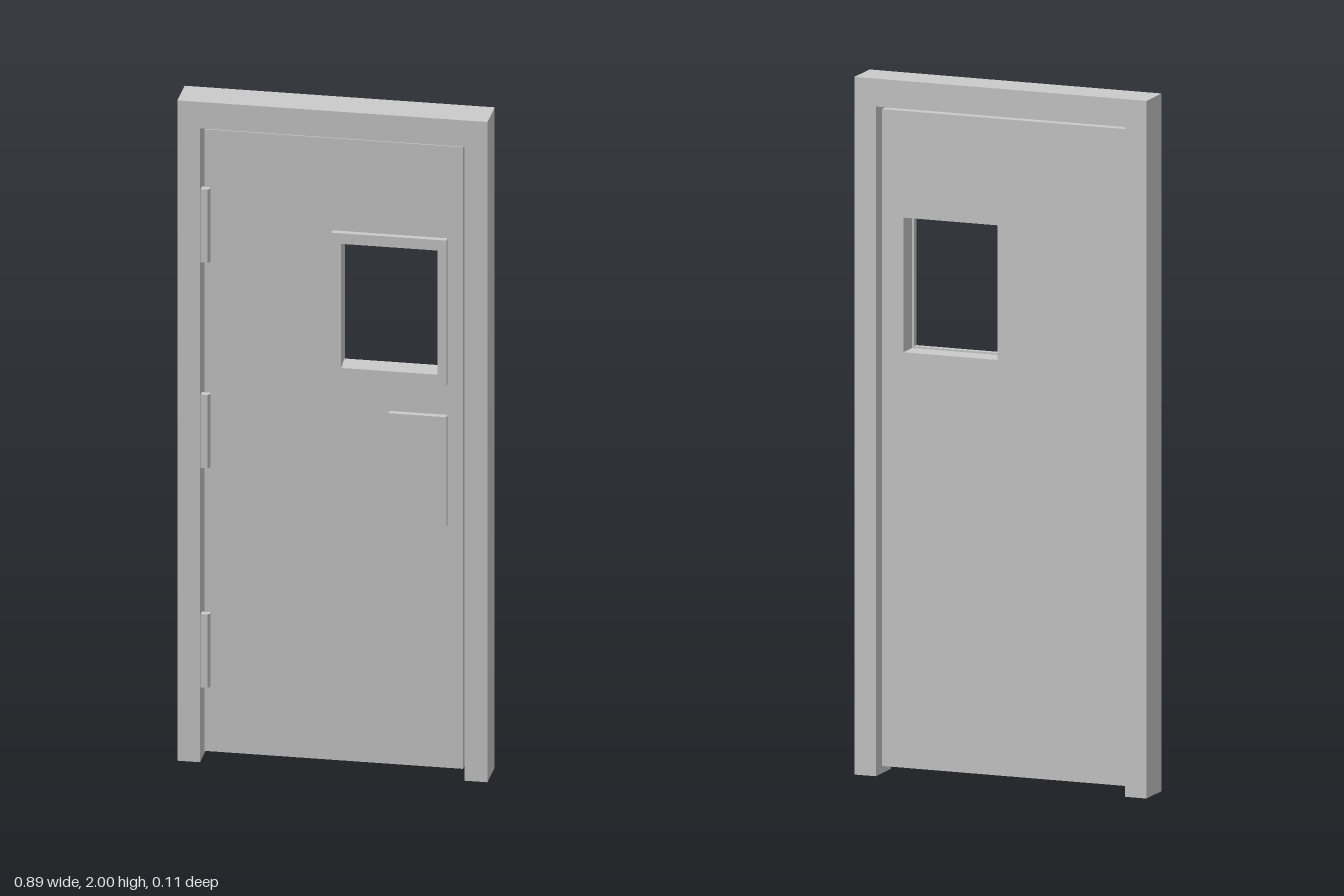
import * as THREE from 'three';

const material = new THREE.MeshStandardMaterial({ color: 0xcccccc, flatShading: true });

// Closed outline from corner points
const outline = (points, Type = THREE.Shape) => new Type(points.map(([x, y]) => new THREE.Vector2(x, y)));
const rect = (x0, x1, y0, y1) => [[x0, y0], [x1, y0], [x1, y1], [x0, y1]];

// Flat panel extruded from z0 to z1, with an optional rectangular hole
function panel(name, points, z0, z1, hole) {
  const shape = outline(points);
  if (hole) shape.holes.push(outline(rect(...hole), THREE.Path));
  const geometry = new THREE.ExtrudeGeometry(shape, { depth: z1 - z0, bevelEnabled: false });
  geometry.translate(0, 0, z0);
  const mesh = new THREE.Mesh(geometry, material);
  mesh.name = name;
  return mesh;
}

export function createModel() {
  const group = new THREE.Group();
  group.name = 'door';

  // Surround: two jambs and a lintel, open at the bottom
  const W = 0.443, w = 0.378, top = 1.92;
  group.add(panel('doorFrame',
    [[-W, 0], [-w, 0], [-w, top], [w, top], [w, 0], [W, 0], [W, 2], [-W, 2]], -0.056, 0.056));

  // Door leaf, with a window opening slightly wider than its trim
  const front = 0.033;
  group.add(panel('doorLeaf', rect(-0.369, 0.369, 0.026, 1.909), -0.033, front, [0.019, 0.304, 1.217, 1.603]));

  // Window trim and push plate on the front
  group.add(panel('windowTrim', rect(-0.003, 0.325, 1.19, 1.63), front, 0.051, [0.024, 0.299, 1.222, 1.598]));
  group.add(panel('pushPlate', rect(0.159, 0.325, 0.763, 1.095), front, 0.051));

  // Three hinges with a chamfered outer edge, spanning the gap beside the jamb
  const section = outline([[-0.377, -0.051], [-0.358, -0.051], [-0.352, -0.045], [-0.352, -0.03], [-0.377, -0.03]]);
  for (const y of [0.225, 0.89, 1.512]) {
    const geometry = new THREE.ExtrudeGeometry(section, { depth: 0.222, bevelEnabled: false });
    geometry.rotateX(-Math.PI / 2);
    const hinge = new THREE.Mesh(geometry, material);
    hinge.name = 'hinge';
    hinge.position.y = y;
    group.add(hinge);
  }
  return group;
}
